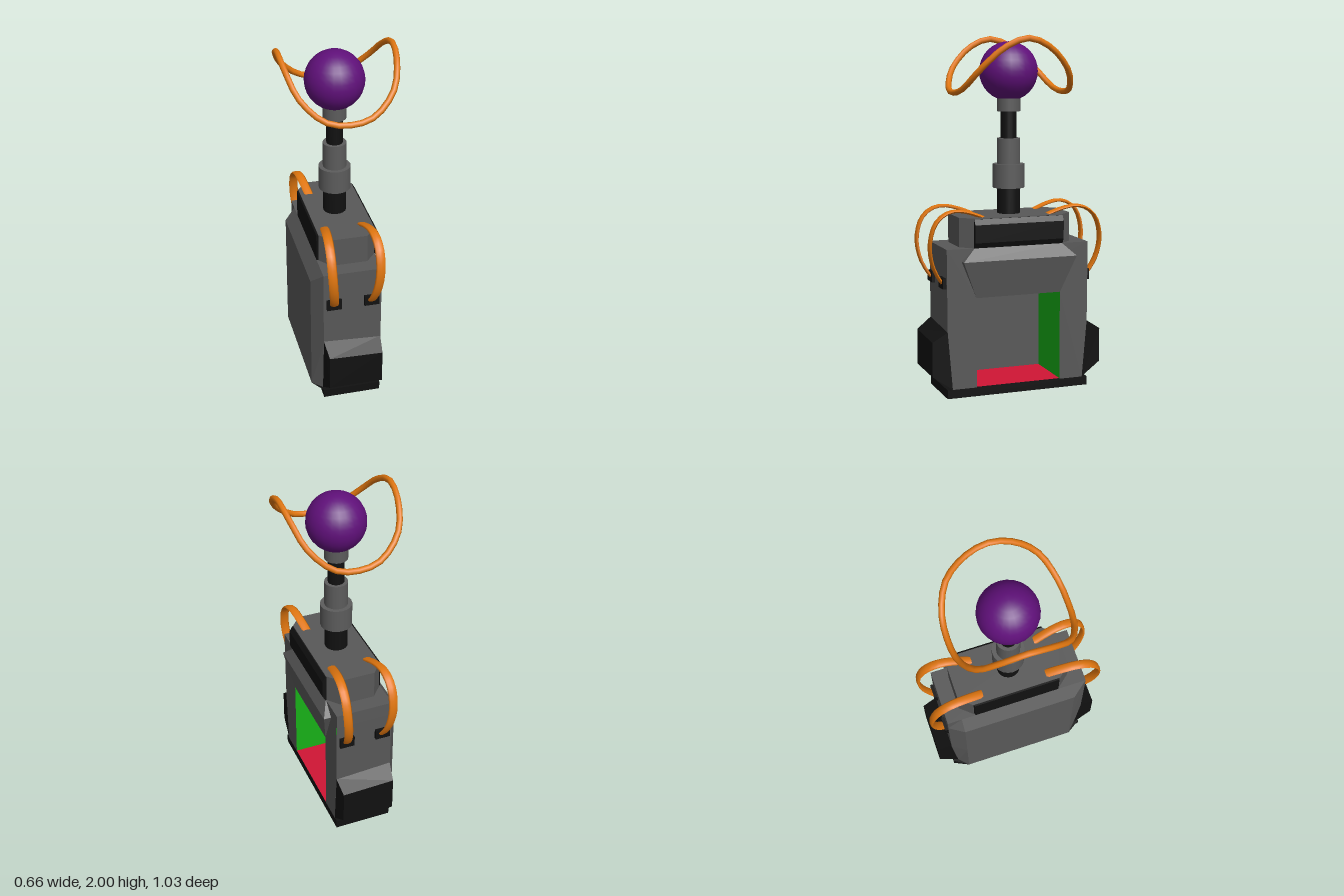
import * as THREE from 'three';

const mat = (color, extra = {}) => new THREE.MeshStandardMaterial({ color, ...extra });

// Skin between matching rings of [x, y, z]; rings run clockwise seen from the last ring
function loft(rings, closed = true) {
  const pos = [];
  const tri = (...pts) => pts.forEach((p) => pos.push(...p));
  const n = rings[0].length;
  for (let r = 0; r < rings.length - 1; r++) {
    const lo = rings[r], up = rings[r + 1];
    for (let i = 0; i < (closed ? n : n - 1); i++) {
      const j = (i + 1) % n;
      tri(lo[j], lo[i], up[i]);
      tri(lo[j], up[i], up[j]);
    }
  }
  const first = rings[0], last = rings[rings.length - 1];
  for (let i = 1; i < n - 1; i++) {
    tri(first[0], first[i], first[i + 1]);
    tri(last[0], last[i + 1], last[i]);
  }
  const g = new THREE.BufferGeometry();
  g.setAttribute('position', new THREE.Float32BufferAttribute(pos, 3));
  g.computeVertexNormals();
  return g;
}

export function createModel() {
  const model = new THREE.Group();
  model.name = 'model';
  const grey = mat(0x585858, { flatShading: true, side: THREE.DoubleSide });
  const steel = mat(0x5c5c5c);
  const black = mat(0x111111);
  const orange = mat(0xe0760f);
  const green = mat(0x18b018, { side: THREE.DoubleSide });
  const red = mat(0xd01535, { side: THREE.DoubleSide });

  const add = (name, geo, material, parent = model) => {
    const m = new THREE.Mesh(geo, material);
    m.name = name;
    parent.add(m);
    return m;
  };
  const box = (name, w, h, d, x, y, z, material, parent) =>
    add(name, new THREE.BoxGeometry(w, h, d), material, parent).position.set(x, y, z);

  // Case plan: straight front and back, bulging panel on the right-hand side of the model
  const plan = (y, h, bulge) => [[0.16, y, h], [-0.17, y, h], [bulge, y, 0.335],
    [bulge, y, -0.335], [-0.17, y, -h], [0.16, y, -h]];
  add('base', loft([plan(0, 0.42, -0.17), plan(0.05, 0.42, -0.225)]), black);
  add('caseShell', loft([plan(0.05, 0.39, -0.225), plan(0.38, 0.418, -0.225),
    plan(0.76, 0.42, -0.225), plan(0.84, 0.42, -0.17)], false), grey);

  // Side wall with the compartment opening cut from its lower edge
  const wall = new THREE.Shape([[-0.39, 0.05], [-0.25, 0.05], [-0.25, 0.56], [0.25, 0.56],
    [0.25, 0.05], [0.39, 0.05], [0.418, 0.38], [0.42, 0.84], [-0.42, 0.84], [-0.418, 0.38]]
    .map(([a, b]) => new THREE.Vector2(a, b)));
  const side = add('openSideWall', new THREE.ShapeGeometry(wall), grey);
  side.rotation.y = Math.PI / 2;
  side.position.x = 0.16;

  // Compartment lining
  const lining = (name, w, h, material, p, rx, ry) => {
    const m = add(name, new THREE.PlaneGeometry(w, h), material);
    m.position.set(...p);
    m.rotation.set(rx, ry, 0);
  };
  const q = Math.PI / 2;
  for (const s of [1, -1]) lining('compartmentSide', 0.325, 0.51, green, [-0.0025, 0.305, s * 0.25], 0, 0);
  lining('compartmentCeiling', 0.325, 0.5, green, [-0.0025, 0.56, 0], -q, 0);
  lining('compartmentFloor', 0.325, 0.5, red, [-0.0025, 0.054, 0], -q, 0);
  lining('compartmentBack', 0.5, 0.51, grey, [-0.165, 0.305, 0], 0, q);

  // Hood over the opening
  const hoodRing = (x, y, z) => [[x, y, z], [0.155, y, z], [0.155, y, -z], [x, y, -z]];
  add('hood', loft([hoodRing(0.161, 0.56, 0.25), hoodRing(0.202, 0.77, 0.335),
    hoodRing(0.161, 0.84, 0.26)]), grey);

  // Top block with cut corners and dark side vents
  const blockRing = (y) => [[0.1, 0.33], [-0.1, 0.33], [-0.16, 0.26], [-0.16, -0.26],
    [-0.1, -0.33], [0.1, -0.33], [0.16, -0.26], [0.16, 0.26]].map(([x, z]) => [x, y, z]);
  add('topBlock', loft([blockRing(0.83), blockRing(1.005)]), grey);
  add('rightVent', loft([0.84, 1].map((y) => [[-0.155, y, 0.26], [-0.17, y, 0.25],
    [-0.17, y, -0.25], [-0.155, y, -0.26]])), black);
  add('leftVent', loft([[0.84, 0.165], [0.87, 0.182], [0.97, 0.182], [1, 0.165]].map(([y, x]) =>
    [[x, y, 0.262], [0.15, y, 0.262], [0.15, y, -0.262], [x, y, -0.262]])), black);

  // Flat bent handle, wider than thick, drifting sideways along its length
  const handlePath = new THREE.CatmullRomCurve3([[0.64, 0.425], [0.68, 0.455], [0.76, 0.492],
    [0.87, 0.506], [0.98, 0.475], [1.03, 0.42], [1.046, 0.355], [1.03, 0.27], [1, 0.19]]
    .map(([y, z]) => new THREE.Vector3(0, y, z)));
  const handleGeo = () => {
    const segs = 18, sides = 8;
    const g = new THREE.TubeGeometry(handlePath, segs, 0.01, sides);
    const p = g.attributes.position;
    for (let i = 0; i < p.count; i++) {
      const u = Math.floor(i / (sides + 1)) / segs;
      p.setX(i, p.getX(i) * 2.6 + 0.105 + 0.03 * Math.sin(Math.PI * u));
    }
    g.computeVertexNormals();
    return g;
  };

  // Pods, handles and sockets at both ends
  for (const s of [1, -1]) {
    const end = new THREE.Group();
    end.name = s > 0 ? 'frontEnd' : 'backEnd';
    end.scale.z = s;
    model.add(end);
    add('pod', loft([
      [[-0.17, 0.05, 0.388], [-0.17, 0.4, 0.415], [0.16, 0.38, 0.415], [0.16, 0.05, 0.388]],
      [[-0.155, 0.13, 0.503], [-0.155, 0.335, 0.503], [0.15, 0.325, 0.503], [0.15, 0.13, 0.503]],
    ]), black, end);
    for (const m of [1, -1]) {
      const pair = new THREE.Group();
      pair.name = m > 0 ? 'leftHandle' : 'rightHandle';
      pair.scale.x = m;
      pair.position.x = -0.005;
      end.add(pair);
      add('handle', handleGeo(), orange, pair);
      box('handleSocket', 0.085, 0.06, 0.04, 0.107, 0.648, 0.418, black, pair);
    }
  }

  // Mast sections: radius, bottom, top
  [[0.065, 1.0, 1.15, black], [0.09, 1.15, 1.285, steel], [0.066, 1.285, 1.43, steel],
    [0.046, 1.43, 1.58, black], [0.066, 1.58, 1.67, steel]].forEach(([r, y0, y1, m], i) => {
    add('mastSection' + (i + 1), new THREE.CylinderGeometry(r, r, y1 - y0, 20), m)
      .position.set(-0.005, (y0 + y1) / 2, 0);
  });
  add('orb', new THREE.SphereGeometry(0.165, 24, 16), mat(0x60107a)).position.set(-0.005, 1.803, 0);

  // Saddle-shaped hoop around the orb, made from one quarter mirrored
  const quarter = [[0.311, 1.983, 0], [0.299, 1.935, 0.13], [0.25, 1.82, 0.25],
    [0.13, 1.712, 0.313], [0, 1.687, 0.326]];
  const flip = (pts, sx, sz) => pts.map(([x, y, z]) => [x * sx, y, z * sz]);
  const back = [...quarter].reverse();
  const loop = [...quarter.slice(0, 4), ...flip(back, -1, 1).slice(0, 4),
    ...flip(quarter, -1, -1).slice(0, 4), ...flip(back, 1, -1).slice(0, 4)];
  const hoop = new THREE.CatmullRomCurve3(loop.map((p) => new THREE.Vector3(...p)), true);
  add('hoop', new THREE.TubeGeometry(hoop, 40, 0.017, 8, true), orange);

  return model;
}
